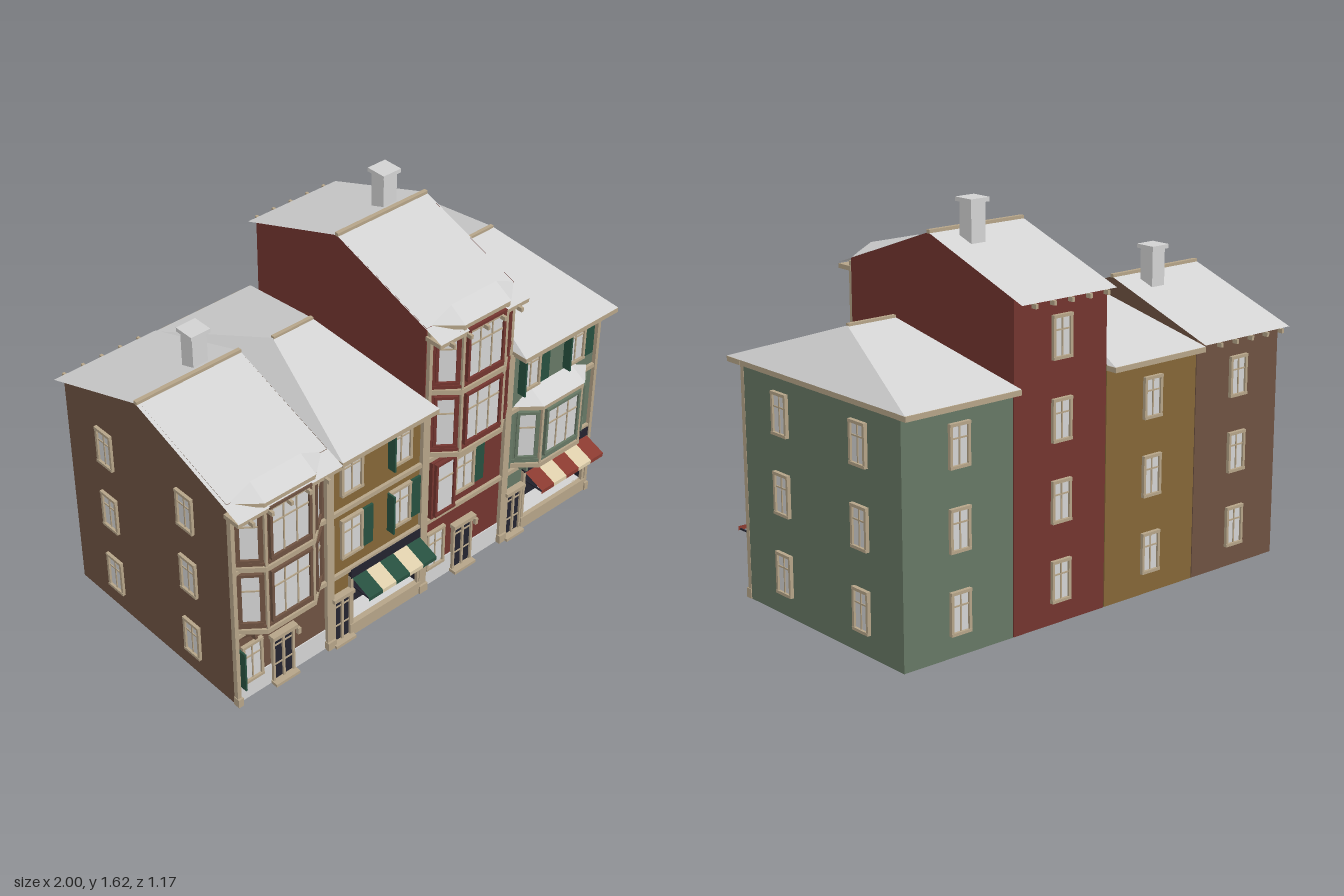
import * as THREE from 'three';

const mat = (name, color) => {
  const m = new THREE.MeshStandardMaterial({ color, side: THREE.DoubleSide });
  m.name = name;
  return m;
};
const M = {
  grey: mat('paleGrey', 0xd2d2d2), cream: mat('stoneTrim', 0xb5a488), brown: mat('brownPlaster', 0x6e5241),
  ochre: mat('ochrePlaster', 0x846637), red: mat('redPlaster', 0x73352f), green: mat('greenPlaster', 0x667764),
  teal: mat('shutterGreen', 0x27503f), navy: mat('darkGlass', 0x23232f),
  canvas: mat('creamCanvas', 0xdccdaa), awningRed: mat('redCanvas', 0x8a3a30),
};
const FRONT = 0.47, BACK = -0.52, RIDGE = -0.03;

function add(parent, name, geo, material) {
  const m = new THREE.Mesh(geo, material);
  m.name = name;
  parent.add(m);
  return m;
}
// Box given by its limits on each axis
function box(parent, name, material, x0, x1, y0, y1, z0, z1) {
  const m = add(parent, name, new THREE.BoxGeometry(x1 - x0, y1 - y0, z1 - z0), material);
  m.position.set((x0 + x1) / 2, (y0 + y1) / 2, (z0 + z1) / 2);
  return m;
}
// Flat convex polygon, counter-clockwise from outside
function poly(parent, name, material, pts) {
  const v = [];
  for (let i = 1; i < pts.length - 1; i++) v.push(...pts[0], ...pts[i], ...pts[i + 1]);
  const g = new THREE.BufferGeometry();
  g.setAttribute('position', new THREE.Float32BufferAttribute(v, 3));
  g.computeVertexNormals();
  return add(parent, name, g, material);
}
// Framed window centred at (x, y, z), facing the given angle about y
function windowAt(parent, x, y, z, w, h, angle = 0, frame = M.cream, bars = 1) {
  const g = new THREE.Group();
  g.name = 'window';
  g.position.set(x, y, z);
  g.rotation.y = angle;
  parent.add(g);
  const a = w / 2, b = h / 2, t = 0.012;
  box(g, 'pane', M.grey, -a, a, -b, b, -0.006, 0.005);
  for (const s of [-1, 1]) {
    box(g, 'jamb', frame, s * a - t / 2, s * a + t / 2, -b, b, -0.004, 0.014);
    box(g, 'rail', frame, -a - t / 2, a + t / 2, s * b - t / 2, s * b + t / 2, -0.004, 0.016);
  }
  for (let i = 1; i <= bars; i++) {
    const u = -a + (w * i) / (bars + 1);
    box(g, 'mullion', M.cream, u - 0.003, u + 0.003, -b, b, 0, 0.009);
  }
  box(g, 'transom', M.cream, -a, a, b * 0.3, b * 0.3 + 0.006, 0, 0.009);
}
// Open (edge-on) left shutter and flat right shutter
function shutters(parent, x, y, left, right) {
  if (left) box(parent, 'openShutter', M.teal, x - 0.063, x - 0.055, y - 0.095, y + 0.095, FRONT, 0.51);
  if (right) box(parent, 'shutter', M.teal, x + 0.06, x + 0.11, y - 0.095, y + 0.095, FRONT, 0.48);
}
function door(parent, x, w) {
  const g = new THREE.Group();
  g.name = 'door';
  parent.add(g);
  const a = w / 2;
  box(g, 'doorLeaf', M.navy, x - a, x + a, 0.01, 0.24, FRONT - 0.01, 0.478);
  for (const s of [-a, 0, a]) box(g, 'doorPost', M.cream, x + s - 0.005, x + s + 0.005, 0.01, 0.24, FRONT, 0.487);
  for (const y of [0.09, 0.19]) box(g, 'doorBar', M.cream, x - a, x + a, y, y + 0.006, FRONT, 0.482);
  box(g, 'doorHood', M.cream, x - a - 0.012, x + a + 0.012, 0.237, 0.255, FRONT, 0.5);
  box(g, 'doorStep', M.cream, x - a - 0.01, x + a + 0.01, 0, 0.014, FRONT, 0.51);
}
// Recessed shop window with fascia and striped awning
function shop(parent, x0, x1, stripe) {
  const g = new THREE.Group();
  g.name = 'shopFront';
  parent.add(g);
  box(g, 'shopBack', M.navy, x0, x1, 0.06, 0.27, 0.385, 0.39);
  box(g, 'shopFloor', M.grey, x0, x1, 0.055, 0.06, 0.385, FRONT);
  for (const x of [x0, x1]) {
    box(g, 'shopCheek', M.navy, x - 0.002, x + 0.002, 0.06, 0.27, 0.385, FRONT);
    box(g, 'shopPost', M.cream, x - 0.007, x + 0.007, 0.03, 0.31, FRONT, 0.485);
  }
  box(g, 'shopSill', M.cream, x0 - 0.01, x1 + 0.01, 0, 0.06, FRONT - 0.005, 0.49);
  box(g, 'shopFascia', M.navy, x0 - 0.005, x1 + 0.005, 0.305, 0.35, FRONT - 0.005, 0.487);
  const n = 5, w = (x1 - x0) / n;
  for (let i = 0; i < n; i++) {
    const a = x0 + i * w, b = a + w, c = i % 2 ? M.canvas : stripe;
    poly(g, 'awningStripe', c, [[a, 0.268, 0.585], [b, 0.268, 0.585], [b, 0.308, 0.48], [a, 0.308, 0.48]]);
    poly(g, 'awningValance', c, [[a, 0.25, 0.585], [b, 0.25, 0.585], [b, 0.268, 0.585], [a, 0.268, 0.585]]);
  }
  for (const x of [x0 + 0.01, x1 - 0.01]) box(g, 'awningArm', M.navy, x - 0.003, x + 0.003, 0.252, 0.258, FRONT, 0.583);
}
// Three-sided bay: wall prism, windows, bands, tapered foot and little roof
function bay(parent, cx, y0, storeys, height, wall, footY) {
  const g = new THREE.Group();
  g.name = 'bayWindow';
  g.position.x = cx;
  parent.add(g);
  const outline = (k) => [[-0.21 - k, FRONT - 0.004], [-0.115 - k * 0.6, 0.54 + k], [0.115 + k * 0.6, 0.54 + k], [0.21 + k, FRONT - 0.004]];
  const slab = (name, m, k, a, b) => {
    const s = new THREE.Shape(outline(k).map((p) => new THREE.Vector2(...p)));
    const geo = new THREE.ExtrudeGeometry(s, { depth: b - a, bevelEnabled: false }).rotateX(Math.PI / 2);
    add(g, name, geo, m).position.y = b;
  };
  const top = y0 + storeys * height, P = outline(0);
  slab('bayWall', wall, 0, y0, top);
  for (let s = 0; s <= storeys; s++) {
    const y = y0 + s * height;
    slab('bayBand', M.cream, 0.009, y - 0.011, y + 0.011);
    if (s === storeys) break;
    slab('baySill', wall, 0.005, y + 0.018, y + 0.03);
    for (let i = 0; i < 3; i++) {
      const [a, b] = [P[i], P[i + 1]], dx = b[0] - a[0], dz = b[1] - a[1];
      const w = Math.hypot(dx, dz) - 0.042;
      windowAt(g, (a[0] + b[0]) / 2, y + height / 2 + 0.012, (a[1] + b[1]) / 2, w, height - 0.07, Math.atan2(-dz, dx), wall, i === 1 ? 2 : 0);
    }
    for (const i of [1, 2]) box(g, 'bayPost', M.cream, P[i][0] - 0.006, P[i][0] + 0.006, y, y + height, P[i][1] - 0.006, P[i][1] + 0.006);
  }
  const lo = P.map(([x, z]) => [x * 0.9, footY, FRONT + (z - FRONT) * 0.15]);
  const hi = P.map(([x, z]) => [x, y0, z]);
  for (let i = 0; i < 3; i++) poly(g, 'bayFoot', wall, [lo[i], lo[i + 1], hi[i + 1], hi[i]]);
  for (const x of [-0.14, -0.05, 0.05, 0.14]) box(g, 'bayBracket', wall, x - 0.006, x + 0.006, footY - 0.01, y0, FRONT, 0.5);
  const e = outline(0.012).map(([x, z]) => [x, top + 0.01, z]);
  const t0 = [-0.12, top + 0.06, FRONT], t1 = [0.12, top + 0.06, FRONT];
  poly(g, 'bayRoof', M.grey, [e[1], e[2], t1, t0]);
  poly(g, 'bayRoof', M.grey, [e[0], e[1], t0]);
  poly(g, 'bayRoof', M.grey, [e[2], e[3], t1]);
  poly(g, 'bayRoof', M.grey, [e[3], e[0], t0, t1]);
}
// House shell, open below; a peak makes the side walls gables
function shell(parent, x0, x1, h, wall, peak, hole) {
  const s = new THREE.Shape([[x0, 0], [x1, 0], [x1, h], [x0, h]].map((p) => new THREE.Vector2(...p)));
  if (hole) s.holes.push(new THREE.Path([[hole[0], 0.06], [hole[0], 0.27], [hole[1], 0.27], [hole[1], 0.06]].map((p) => new THREE.Vector2(...p))));
  add(parent, 'frontWall', new THREE.ShapeGeometry(s), wall).position.z = FRONT;
  poly(parent, 'backWall', wall, [[x1, 0, BACK], [x0, 0, BACK], [x0, h, BACK], [x1, h, BACK]]);
  for (const x of [x0, x1]) {
    const pts = [[x, 0, FRONT], [x, 0, BACK], [x, h, BACK], ...(peak ? [[x, peak, RIDGE]] : []), [x, h, FRONT]];
    poly(parent, 'sideWall', wall, x === x0 ? pts.reverse() : pts);
  }
  const rows = peak > 1.3 ? 4 : 3;
  for (let i = 0; i < rows; i++) windowAt(parent, (x0 + x1) / 2, 0.175 + i * 0.322, BACK, 0.085, 0.16, Math.PI);
}
function gableRoof(parent, x0, x1, peak, cx) {
  const f = 0.555, b = -0.57, drop = 0.355, yf = peak - (f - RIDGE) * drop, yb = peak - (RIDGE - b) * drop;
  poly(parent, 'roofFront', M.grey, [[x0, yf, f], [x1, yf, f], [x1, peak, RIDGE], [x0, peak, RIDGE]]);
  poly(parent, 'roofBack', M.grey, [[x1, yb, b], [x0, yb, b], [x0, peak, RIDGE], [x1, peak, RIDGE]]);
  box(parent, 'ridgeCap', M.cream, x0, x1, peak - 0.005, peak + 0.01, RIDGE - 0.009, RIDGE + 0.009);
  box(parent, 'eaveBoard', M.cream, x0, x1, yf - 0.022, yf - 0.003, FRONT, 0.55);
  for (let i = 0; i < 5; i++) {
    const x = x0 + 0.055 + i * 0.09;
    box(parent, 'eaveHook', M.cream, x - 0.006, x + 0.006, yf - 0.03, yf - 0.012, 0.545, 0.573);
    box(parent, 'eaveHook', M.cream, x - 0.006, x + 0.006, yb - 0.018, yb, -0.585, -0.56);
  }
  box(parent, 'chimney', M.grey, cx - 0.035, cx + 0.035, peak - 0.06, peak + 0.115, -0.15, -0.08);
  box(parent, 'chimneyCap', M.grey, cx - 0.046, cx + 0.046, peak + 0.113, peak + 0.13, -0.161, -0.069);
}
function hipRoof(parent, x0, x1, r0, r1) {
  const f = 0.555, b = -0.57, y = 0.987, p = 1.183, z = -0.01;
  const A = [x0, y, f], B = [x1, y, f], C = [x1, y, b], D = [x0, y, b], L = [r0, p, z], R = [r1, p, z];
  for (const q of [[A, B, R, L], [B, C, R], [C, D, L, R], [D, A, L]]) poly(parent, 'hipRoof', M.grey, q);
  box(parent, 'ridgeCap', M.cream, r0, r1, p - 0.005, p + 0.008, z - 0.008, z + 0.008);
  box(parent, 'frontCornice', M.cream, x0, x1, 0.965, 0.986, FRONT, 0.555);
  box(parent, 'backCornice', M.cream, x0, x1, 0.965, 0.986, -0.572, BACK);
}

export function createModel() {
  const root = new THREE.Group();
  root.name = 'terraceOfHouses';
  const house = (name) => {
    const g = new THREE.Group();
    g.name = name;
    root.add(g);
    return g;
  };
  // Brown house
  const h1 = house('brownHouse');
  shell(h1, -0.985, -0.507, 1.008, M.brown, 1.183);
  gableRoof(h1, -1, -0.505, 1.183, -0.655);
  bay(h1, -0.755, 0.37, 2, 0.312, M.brown, 0.32);
  // Ochre house
  const h2 = house('ochreHouse');
  shell(h2, -0.503, -0.014, 0.99, M.ochre, 0, [-0.395, -0.03]);
  hipRoof(h2, -0.505, -0.012, -0.36, -0.16);
  for (const x of [-0.39, -0.135]) for (const y of [0.84, 0.525]) {
    windowAt(h2, x, y, FRONT, 0.1, 0.185);
    shutters(h2, x, y, x > -0.2, y < 0.6);
  }
  door(h2, -0.445, 0.085);
  shop(h2, -0.395, -0.03, M.teal);
  // Red house
  const h3 = house('redHouse');
  shell(h3, -0.01, 0.456, 1.314, M.red, 1.49);
  gableRoof(h3, -0.014, 0.46, 1.49, 0.312);
  bay(h3, 0.235, 0.69, 2, 0.307, M.red, 0.665);
  box(h3, 'smallOriel', M.red, 0.022, 0.152, 0.372, 0.66, FRONT, 0.495);
  windowAt(h3, 0.087, 0.52, 0.495, 0.1, 0.255, 0, M.red, 0);
  windowAt(h3, 0.22, 0.51, FRONT, 0.1, 0.185);
  shutters(h3, 0.22, 0.51, false, true);
  // Green house
  const h4 = house('greenHouse');
  shell(h4, 0.46, 0.982, 0.99, M.green, 0, [0.58, 0.958]);
  hipRoof(h4, 0.462, 1, 0.61, 0.83);
  box(h4, 'sideCornice', M.cream, 0.982, 0.998, 0.965, 0.986, -0.572, 0.555);
  bay(h4, 0.715, 0.375, 1, 0.3, M.green, 0.335);
  for (const x of [0.58, 0.845]) {
    windowAt(h4, x, 0.84, FRONT, 0.1, 0.185);
    shutters(h4, x, 0.84, true, true);
  }
  door(h4, 0.52, 0.085);
  shop(h4, 0.58, 0.958, M.awningRed);
  // Ground floors of the two houses without shops
  for (const [g, x0, x1, wx, dx] of [[h1, -0.985, -0.51, -0.9, -0.75], [h3, 0, 0.45, 0.068, 0.22]]) {
    box(g, 'plinth', M.grey, x0, x1, 0, 0.1, FRONT - 0.004, 0.475);
    windowAt(g, wx, 0.185, FRONT, 0.09, 0.185);
    door(g, dx, 0.1);
    box(g, 'letterBox', M.cream, dx + 0.075, dx + 0.09, 0.18, 0.21, FRONT, 0.485);
  }
  shutters(h1, -0.9, 0.18, true, false);
  // Side windows on both ends
  for (const s of [-1, 1]) for (const z of [0.22, -0.275]) for (const y of [0.175, 0.5, 0.82]) {
    windowAt(root, s * 0.983, y, z, 0.085, 0.16, (s * Math.PI) / 2);
  }
  // Pilasters and floor bands
  for (const [x, w, top] of [[-0.978, 0.018, 0.97], [-0.508, 0.036, 0.97], [-0.01, 0.034, 0.97], [0.455, 0.034, 0.97], [0.975, 0.016, 0.97], [0.002, 0.016, 1.3], [0.446, 0.016, 1.3]]) {
    box(root, 'pilaster', M.cream, x - w / 2, x + w / 2, 0, top, FRONT - 0.004, 0.488);
    box(root, 'pilasterFoot', M.cream, x - w / 2 - 0.003, x + w / 2 + 0.003, 0, 0.04, FRONT - 0.004, 0.497);
  }
  for (const y of [0.342, 0.662]) box(root, 'floorBand', M.cream, -0.985, 0.982, y, y + 0.02, FRONT - 0.004, 0.484);
  return root;
}
